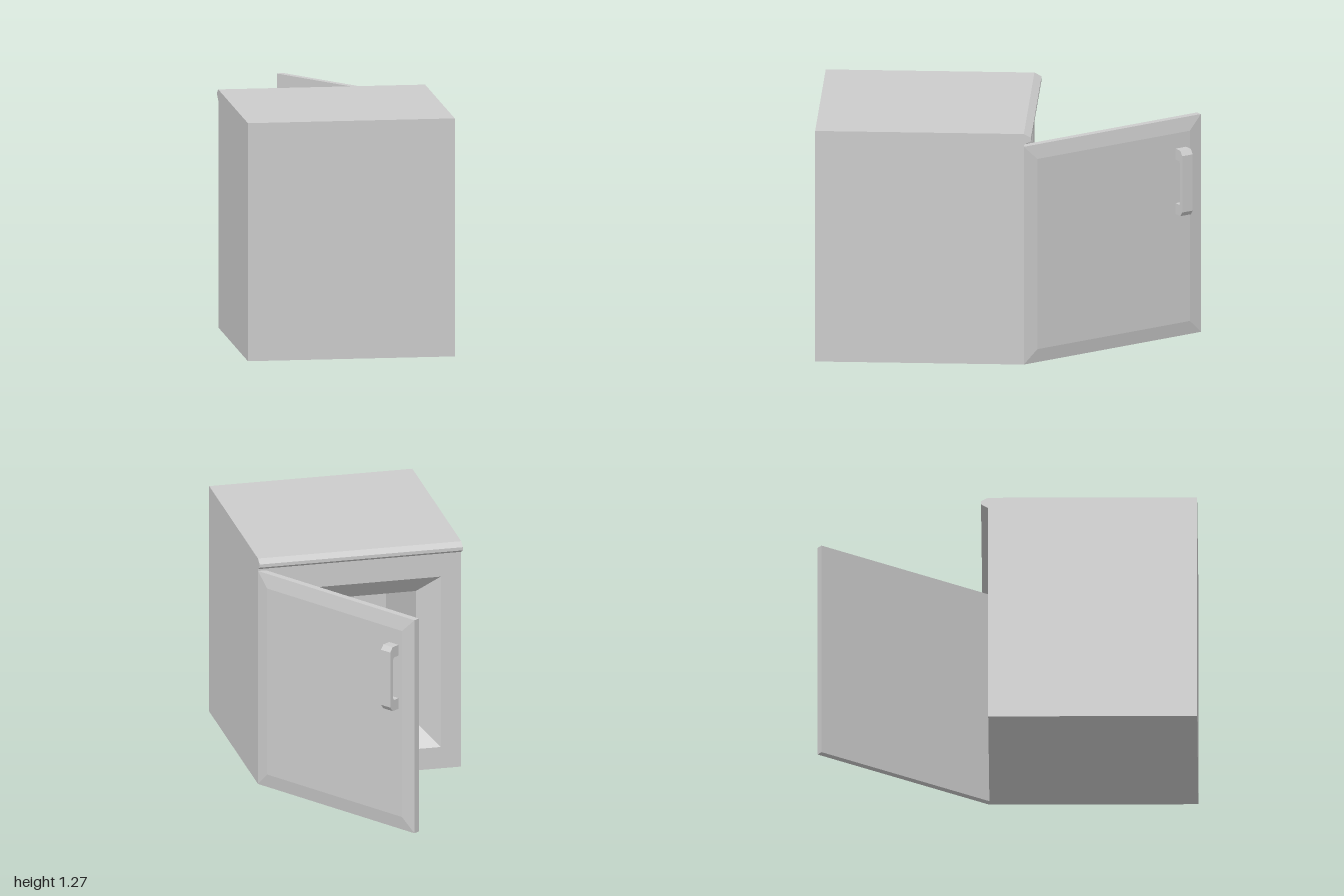
import * as THREE from 'three';

const material = new THREE.MeshStandardMaterial({ color: 0xcccccc, flatShading: true });

function mesh(name, geometry) {
  const m = new THREE.Mesh(geometry, material);
  m.name = name;
  return m;
}

// Skin through rectangular rings [x0, x1, y0, y1, z], capped at both ends.
function loft(rings) {
  const loops = rings.map(([x0, x1, y0, y1, z]) =>
    [[x0, y0, z], [x1, y0, z], [x1, y1, z], [x0, y1, z]]);
  const pos = [];
  const quad = (a, b, c, d) => pos.push(...a, ...b, ...c, ...a, ...c, ...d);
  quad(...loops[0]);
  for (let r = 0; r < loops.length - 1; r++) {
    for (let i = 0; i < 4; i++) {
      const j = (i + 1) % 4;
      quad(loops[r][i], loops[r + 1][i], loops[r + 1][j], loops[r][j]);
    }
  }
  quad(...loops[loops.length - 1].slice().reverse());
  const geometry = new THREE.BufferGeometry();
  geometry.setAttribute('position', new THREE.Float32BufferAttribute(pos, 3));
  geometry.computeVertexNormals();
  return geometry;
}

// Side profile of [distance towards -z, y] points, extruded along +x.
function extrudeProfile(points, width) {
  const shape = new THREE.Shape(points.map(([d, y]) => new THREE.Vector2(d, y)));
  return new THREE.ExtrudeGeometry(shape, { depth: width, bevelEnabled: false })
    .rotateY(Math.PI / 2);
}

export function createModel() {
  const model = new THREE.Group();
  model.name = 'miniFridge';

  // Cabinet: outer box, door frame, sloped rim and inner compartment
  model.add(mesh('cabinet', loft([
    [-0.55, 0.55, 0, 1.27, 1],
    [-0.55, 0.55, 0, 1.27, -0.1],
    [-0.44, 0.44, 0.12, 1.08, -0.1],
    [-0.33, 0.33, 0.23, 0.97, 0.005],
    [-0.33, 0.33, 0.23, 0.97, 0.68],
  ])));

  // Overhanging lip above the door
  const lip = mesh('topLip', extrudeProfile(
    [[0.1, 1.21], [0.138, 1.232], [0.138, 1.25], [0.1, 1.27]], 1.1));
  lip.position.x = -0.55;
  model.add(lip);

  // Door swung open about the left corner, outer face chamfered
  const door = new THREE.Group();
  door.name = 'door';
  door.position.set(0.55, 0, -0.1);
  door.rotation.y = THREE.MathUtils.degToRad(-55);
  const c = 0.076;
  door.add(mesh('doorPanel', loft([
    [-1.1, 0, 0, 1.2, 0.036],
    [-1.1, 0, 0, 1.2, 0],
    [-1.1 + c, -c, c, 1.2 - c, -0.013],
  ])));

  // Handle: bracket with chamfered corners
  const handle = mesh('doorHandle', extrudeProfile([
    [0, 0.68], [0.047, 0.68], [0.066, 0.705], [0.066, 1.015], [0.047, 1.04], [0, 1.04],
    [0, 0.98], [0.036, 0.98], [0.044, 0.968], [0.044, 0.752], [0.036, 0.74], [0, 0.74],
  ], 0.065));
  handle.position.set(-1.0, 0, -0.013);
  door.add(handle);
  model.add(door);

  return model;
}
